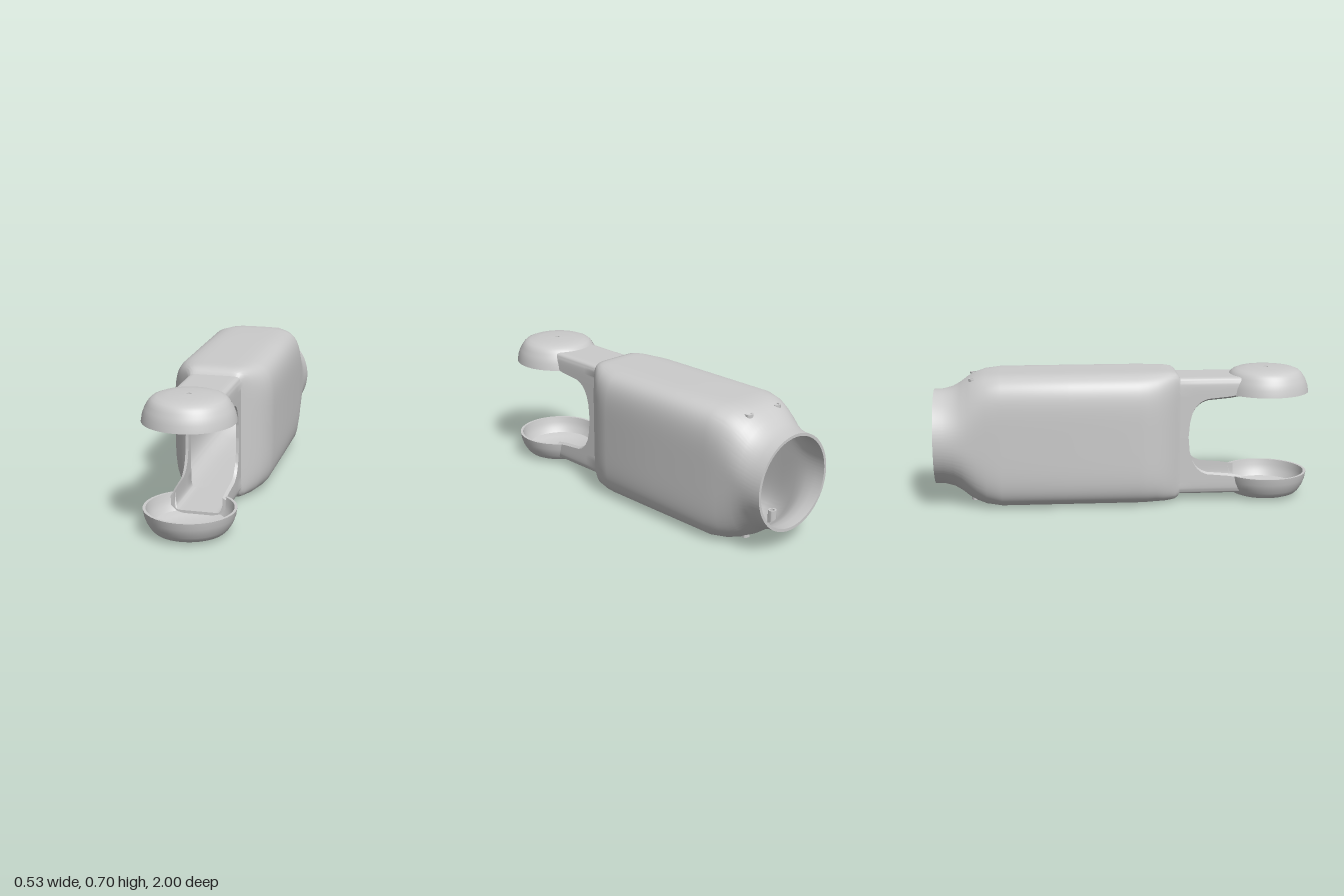
import * as THREE from 'three';
import { toCreasedNormals } from 'three/addons/utils/BufferGeometryUtils.js';

const MID = 0.35;   // height of the long axis
const WALL = 0.015; // shell thickness
const SEG = 240;
const material = new THREE.MeshStandardMaterial({ color: 0xcccccc, side: THREE.DoubleSide });

function mesh(name, geometry) {
  const m = new THREE.Mesh(toCreasedNormals(geometry, 0.7), material);
  m.name = name;
  return m;
}

// Body cross-sections: z, half width, half height, squareness (2 = ellipse)
const SECTIONS = [
  [-1, 0.25, 0.25, 2], [-0.95, 0.25, 0.252, 2], [-0.9, 0.25, 0.265, 2.1],
  [-0.86, 0.251, 0.287, 2.3], [-0.82, 0.253, 0.315, 2.7], [-0.78, 0.256, 0.333, 3.2],
  [-0.73, 0.26, 0.345, 4], [-0.65, 0.266, 0.35, 5], [-0.3, 0.267, 0.35, 5],
  [0.06, 0.267, 0.35, 5], [0.11, 0.26, 0.35, 5], [0.16, 0.243, 0.35, 5],
  [0.2, 0.222, 0.35, 5.5], [0.235, 0.195, 0.349, 6], [0.265, 0.167, 0.343, 8],
  [0.28, 0.15, 0.332, 10], [0.29, 0.141, 0.315, 14],
];

// Edge of the U-shaped cut through the neck: z as a function of distance from the axis
const CUT = [[0, 0.335], [0.08, 0.342], [0.13, 0.355], [0.165, 0.375], [0.19, 0.4],
  [0.207, 0.44], [0.215, 0.5], [0.218, 0.62]];
function cutZ(d) {
  for (let i = 1; i < CUT.length; i++) {
    const [d0, z0] = CUT[i - 1], [d1, z1] = CUT[i];
    if (d <= d1) return THREE.MathUtils.lerp(z0, z1, (d - d0) / (d1 - d0));
  }
  return CUT[CUT.length - 1][1];
}

// One rounded-rectangle ring; neck > 0 stretches it towards the U-shaped cut
function ring([z, hw, hh, n], inset, neck) {
  const pts = [];
  for (let j = 0; j < SEG; j++) {
    const a = (j / SEG) * Math.PI * 2, c = Math.cos(a), s = Math.sin(a);
    const r = (Math.abs(c) ** n + Math.abs(s) ** n) ** (-1 / n);
    const end = cutZ(Math.abs(s * r * hh));
    pts.push((hw - inset) * c * r, MID + (hh - inset) * s * r, THREE.MathUtils.lerp(z, end, neck));
  }
  return pts;
}

// Hollow body with neck arms: outer skin forwards, inner skin back, closed at the rims
function shellGeometry() {
  const last = SECTIONS[SECTIONS.length - 1];
  const steps = SECTIONS.map((s) => [s, 0]);
  for (const t of [0.25, 0.5, 0.75, 1]) steps.push([last, t]);
  const rings = [
    ...steps.map(([s, t]) => ring(s, 0, t)),
    ...steps.slice().reverse().map(([s, t]) => ring(s, WALL, t)),
  ];
  const index = [];
  for (let i = 0; i < rings.length; i++) {
    const i2 = (i + 1) % rings.length;
    for (let j = 0; j < SEG; j++) {
      const j2 = (j + 1) % SEG;
      const a = i * SEG + j, b = i * SEG + j2, c = i2 * SEG + j2, d = i2 * SEG + j;
      index.push(a, b, c, a, c, d);
    }
  }
  const g = new THREE.BufferGeometry();
  g.setAttribute('position', new THREE.Float32BufferAttribute(rings.flat(), 3));
  g.setIndex(index);
  g.computeVertexNormals();
  return g;
}

const lathe = (pts, segs, start, length) =>
  new THREE.LatheGeometry(pts.map(([r, y]) => new THREE.Vector2(r, y)), segs, start, length);

// Domed cup, with its side wall open where the arm's channel runs in
function makeCup() {
  const cup = new THREE.Group();
  cup.name = 'cup';
  const dome = [[0.01, 0.333], [0.09, 0.329], [0.15, 0.321], [0.182, 0.306],
    [0.2, 0.306], [0.192, 0.319], [0.178, 0.332], [0.155, 0.341], [0.1, 0.348], [0.012, 0.35], [0.01, 0.333]];
  const side = [[0.2, 0.307], [0.213, 0.285], [0.224, 0.255], [0.23, 0.22],
    [0.216, 0.22], [0.21, 0.25], [0.2, 0.28], [0.183, 0.306]];
  const gap = 0.62;
  cup.add(mesh('cupDome', lathe(dome, 64, 0, Math.PI * 2)));
  cup.add(mesh('cupSide', lathe(side, 56, Math.PI + gap, 2 * (Math.PI - gap))));
  cup.position.z = 0.765;
  return cup;
}

// Small hollow screw post hanging inside the rear collar
function makePost(x) {
  const post = mesh('screwPost', lathe(
    [[0.012, 0.245], [0.022, 0.245], [0.022, 0.325], [0.012, 0.325], [0.012, 0.245]], 20));
  post.position.set(x, 0, -0.79);
  return post;
}

export function createModel() {
  const model = new THREE.Group();
  model.name = 'clampHousing';
  model.add(mesh('bodyShell', shellGeometry()));

  // Upper and lower fittings are the same, turned about the long axis
  for (const [name, turn] of [['upperFittings', 0], ['lowerFittings', Math.PI]]) {
    const half = new THREE.Group();
    half.name = name;
    half.add(makeCup(), makePost(-0.1), makePost(0.1));
    half.position.y = MID;
    half.rotation.z = turn;
    model.add(half);
  }
  return model;
}
